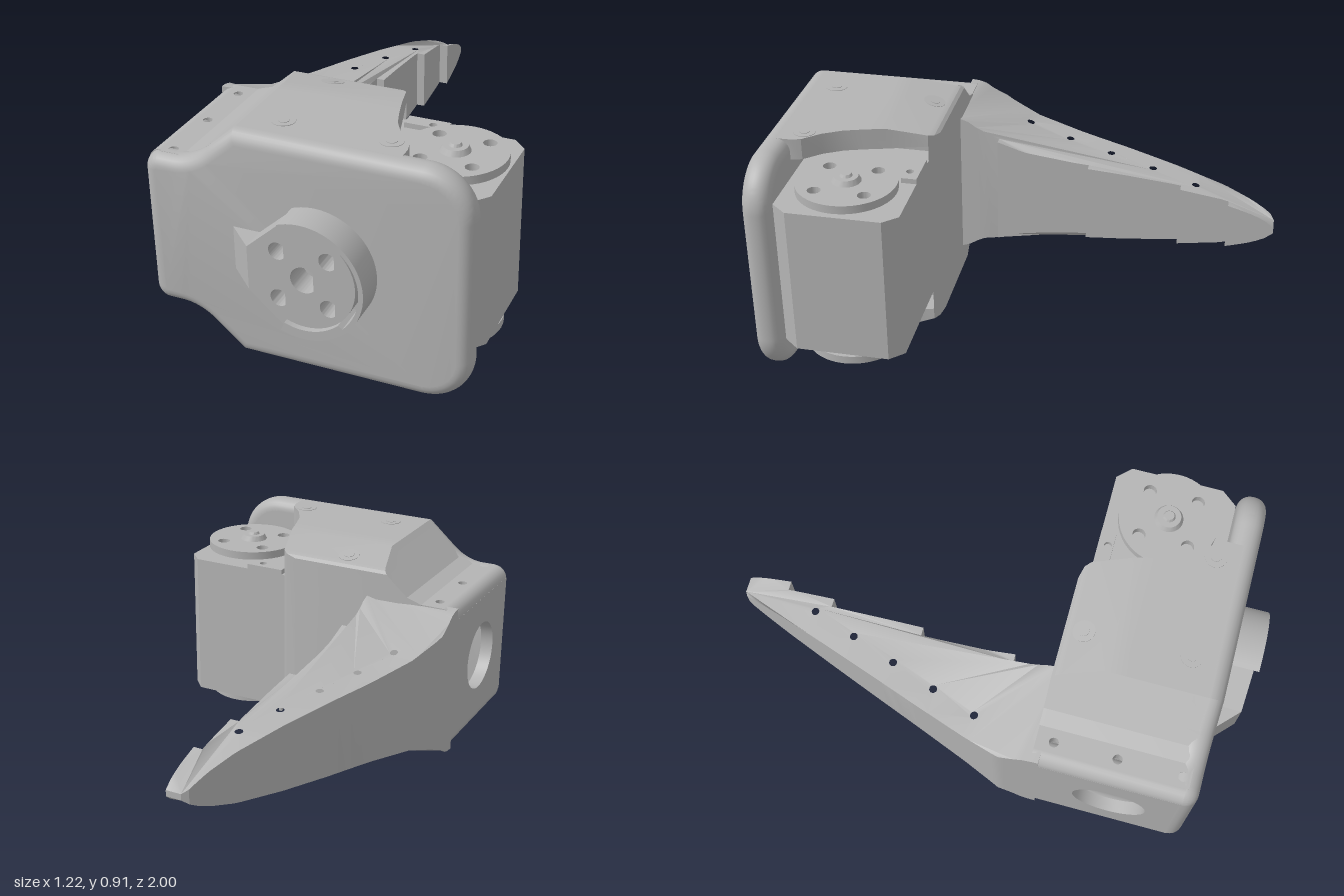
import * as THREE from 'three';
import { toCreasedNormals } from 'three/addons/utils/BufferGeometryUtils.js';

const YC = 0.453; // height of the mirror plane

export function createModel() {
  const group = new THREE.Group();
  const grey = new THREE.MeshStandardMaterial({ color: 0xb4b4b4 });
  grey.name = 'plain grey';

  const add = (name, geo, crease = 0.6) => {
    const mesh = new THREE.Mesh(toCreasedNormals(geo, crease), grey);
    mesh.name = name;
    group.add(mesh);
    return mesh;
  };
  const extrude = (shape, depth, extra = {}) => new THREE.ExtrudeGeometry(shape,
    { depth, bevelEnabled: false, curveSegments: 24, ...extra });
  const circle = (x, y, r) => new THREE.Path().absarc(x, y, r, 0, Math.PI * 2, true);

  // Vertical prism from [x, z] points, with round [x, z, r] holes
  const prismY = (points, y0, y1, holes = []) => {
    const shape = new THREE.Shape(points.map(([x, z]) => new THREE.Vector2(x, -z)));
    holes.forEach(([x, z, r]) => shape.holes.push(circle(x, -z, r)));
    return extrude(shape, y1 - y0, { curveSegments: 10 }).rotateX(-Math.PI / 2).translate(0, y0, 0);
  };
  const rect = (x0, x1, z0, z1) => [[x0, z1], [x1, z1], [x1, z0], [x0, z0]];
  const cyl = (name, r, y0, y1, x, z, r2 = r) =>
    add(name, new THREE.CylinderGeometry(r2, r, y1 - y0, 40).translate(x, (y0 + y1) / 2, z));

  // Front plate with rolled edges
  const f = new THREE.Shape();
  f.moveTo(-0.26, 0.003);
  f.lineTo(0.43, 0.003);
  f.absarc(0.43, 0.183, 0.18, -Math.PI / 2, 0);
  f.lineTo(0.61, 0.723);
  f.absarc(0.43, 0.723, 0.18, 0, Math.PI / 2);
  f.lineTo(-0.26, 0.903);
  f.lineTo(-0.36, 0.815);
  f.quadraticCurveTo(-0.425, 0.753, -0.5, 0.753);
  f.lineTo(-0.55, 0.753);
  f.absarc(-0.55, 0.693, 0.06, Math.PI / 2, Math.PI);
  f.lineTo(-0.61, 0.213);
  f.absarc(-0.55, 0.213, 0.06, Math.PI, Math.PI * 1.5);
  f.lineTo(-0.5, 0.153);
  f.quadraticCurveTo(-0.425, 0.153, -0.36, 0.091);
  add('frontPlate', extrude(f, 0.01, {
    bevelEnabled: true, bevelThickness: 0.05, bevelSize: 0.05, bevelOffset: -0.05,
    bevelSegments: 6, curveSegments: 14,
  }).translate(0, 0, 0.822));

  // Housing: sections along z, as [z, right edge, top height, slot floor]
  const rows = [
    [0.268, 0.08, 0.85, 0.08], [0.28, 0.125, 0.86, 0.125], [0.3, 0.145, 0.867, 0.145],
    [0.301, 0.145, 0.867, 0.05], [0.45, 0.19, 0.903, 0.05], [0.53, 0.212, 0.903, 0.05],
    [0.6, 0.235, 0.903, 0.05], [0.67, 0.275, 0.903, 0.05], [0.73, 0.33, 0.903, 0.05],
    [0.77, 0.34, 0.903, 0.05], [0.83, 0.34, 0.903, 0.05],
  ];
  const section = ([, xe, top, slot]) => {
    const upper = [[slot, 0.82], [xe, 0.82], [xe, top], [-0.26 - (0.903 - top) * 1.14, top],
      [-0.36, 0.815], [-0.41, 0.772], [-0.47, 0.753]];
    const lower = upper.map(([x, y]) => [x, 2 * YC - y]).reverse();
    return [...lower, ...upper];
  };
  const pos = [], idx = [];
  const n = section(rows[0]).length;
  rows.forEach((row) => section(row).forEach(([x, y]) => pos.push(x, y, row[0])));
  for (let r = 0; r < rows.length - 1; r++) {
    for (let i = 0; i < n; i++) {
      const a = r * n + i, b = r * n + (i + 1) % n;
      idx.push(a, b, b + n, a, b + n, a + n);
    }
  }
  [0, rows.length - 1].forEach((r) => {
    const ring = section(rows[r]).map(([x, y]) => new THREE.Vector2(x, y));
    THREE.ShapeUtils.triangulateShape(ring, []).forEach(([a, b, c]) => {
      const o = r * n;
      if (r) idx.push(o + a, o + b, o + c);
      else idx.push(o + a, o + c, o + b);
    });
  });
  const housing = new THREE.BufferGeometry();
  housing.setAttribute('position', new THREE.Float32BufferAttribute(pos, 3));
  housing.setIndex(idx);
  add('housing', housing, 0.35);

  // Hollow side bay: bored outer wall, drilled top and bottom walls, round corners
  const wall = new THREE.Shape([[-0.83, 0.2], [-0.28, 0.2], [-0.28, 0.706], [-0.83, 0.706]]
    .map(([x, y]) => new THREE.Vector2(x, y)));
  wall.holes.push(circle(-0.58, YC, 0.14));
  add('boredSideWall', extrude(wall, 0.05).rotateY(Math.PI / 2).translate(-0.61, 0, 0));
  const drill = [0.335, 0.57, 0.81].map((z) => [-0.52, z, 0.018]);
  [[0.153, 0.203], [0.703, 0.753]].forEach(([y0, y1]) =>
    add('bayWall', prismY(rect(-0.56, -0.46, 0.27, 0.84), y0, y1, drill)));
  [0.203, 0.703].forEach((y) => add('bayCorner',
    new THREE.CylinderGeometry(0.05, 0.05, 0.56, 24).rotateX(Math.PI / 2).translate(-0.56, y, 0.55)));

  // Finger: stepped plan with drilled holes, height tapered along z
  const keys = [[-0.61, 0.3], [-0.61, 0.15], [-0.203, -0.96], [-0.192, -0.985], [-0.17, -1],
    [-0.11, -1], [-0.11, -0.82], [-0.145, -0.82], [-0.145, -0.63], [-0.178, -0.63],
    [-0.178, -0.26], [-0.21, -0.26], [-0.21, 0.11], [-0.24, 0.11], [-0.24, 0.3]];
  const plan = [];
  keys.forEach(([x, z], i) => {
    const [x2, z2] = keys[(i + 1) % keys.length];
    const steps = Math.max(1, Math.round(Math.abs(z2 - z) / 0.03));
    for (let s = 0; s < steps; s++) plan.push([x + (x2 - x) * s / steps, z + (z2 - z) * s / steps]);
  });
  const taper = [[-1, 0.012], [-0.985, 0.028], [-0.95, 0.048], [-0.9, 0.068], [-0.8, 0.097],
    [-0.6, 0.127], [-0.4, 0.147], [-0.2, 0.162], [0, 0.187], [0.12, 0.226], [0.2, 0.262],
    [0.25, 0.295], [0.3, 0.3]];
  const halfHeight = (z) => {
    const i = Math.max(1, taper.findIndex(([t]) => t >= z - 1e-6));
    const [z0, h0] = taper[i - 1], [z1, h1] = taper[i];
    return h0 + (h1 - h0) * (z - z0) / (z1 - z0);
  };
  const fingerHoles = [0, 1, 2, 3, 4].map((i) => [-0.47 + 0.065 * i, 0.022 - 0.177 * i, 0.015]);
  const finger = prismY(plan, -1, 1, fingerHoles);
  const p = finger.attributes.position;
  for (let i = 0; i < p.count; i++) p.setY(i, YC + p.getY(i) * halfHeight(p.getZ(i)));
  add('finger', finger, 0.5);

  // Servo motor body with chamfered outer corners
  add('servoBody', prismY([[0.06, 0.77], [0.56, 0.77], [0.61, 0.71], [0.61, 0.355],
    [0.56, 0.302], [0.06, 0.302]], 0.165, 0.755), 0.3);
  add('servoTab', prismY(rect(0.16, 0.32, 0.302, 0.36), 0.75, 0.775, [[0.265, 0.34, 0.015]]));

  // Output horns above and below the servo
  const hx = 0.42, hz = 0.535;
  const hornHoles = [[-1, -1], [1, -1], [1, 1], [-1, 1]].map(([a, b]) => [hx + a * 0.093, hz + b * 0.093, 0.025]);
  const disc = Array.from({ length: 48 }, (_, i) => {
    const a = -i / 48 * Math.PI * 2;
    return [hx + 0.188 * Math.cos(a), hz + 0.188 * Math.sin(a)];
  });
  add('topHorn', prismY(disc, 0.77, 0.802, hornHoles));
  cyl('topHornHub', 0.1, 0.75, 0.771, hx, hz);
  cyl('hornScrew', 0.055, 0.802, 0.822, hx, hz, 0.045);
  cyl('hornScrewHead', 0.025, 0.82, 0.832, hx, hz, 0.018);
  add('bottomHorn', prismY(disc, 0.12, 0.152));
  cyl('bottomHornHub', 0.1, 0.15, 0.17, hx, hz);
  cyl('bottomHornScrew', 0.03, 0.108, 0.122, hx, hz, 0.035);

  // Connector pins under the servo
  [0.4, 0.43, 0.46, 0.55, 0.58, 0.61].forEach((z) => [0.19, 0.215].forEach((x) =>
    add('connectorPin', new THREE.BoxGeometry(0.012, 0.08, 0.012).translate(x, 0.13, z))));

  // Screw seats on the housing, mirrored top to bottom
  [[-0.125, 0.34, 0.876, -0.235], [-0.125, 0.735, 0.903, 0], [0.27, 0.735, 0.903, 0]].forEach(([x, z, y, tilt]) =>
    [1, -1].forEach((side) => [[0.042, 0.004], [0.02, 0.008]].forEach(([r, h]) => {
      const seat = add('screwSeat', new THREE.CylinderGeometry(r, r, h, 24));
      seat.position.set(x, YC + side * (y - YC), z);
      seat.rotation.x = side * tilt;
    })));

  // Front coupling: keyhole pad with drop-shaped holes
  const cx = 0.05;
  const drop = (x, y, r) => {
    const path = new THREE.Path();
    path.moveTo(x + r * 1.45, y);
    path.absarc(x, y, r, -Math.PI / 4, Math.PI / 4, true);
    return path;
  };
  const pad = new THREE.Shape();
  pad.moveTo(-0.16, 0.368);
  pad.lineTo(-0.03, 0.25);
  pad.absarc(cx, YC, 0.188, -1.95, 1.95);
  pad.lineTo(-0.03, 0.656);
  pad.lineTo(-0.16, 0.538);
  pad.holes.push(drop(cx, YC, 0.05));
  [-0.045, 0.14].forEach((x) => [-1, 1].forEach((s) => pad.holes.push(drop(x, YC + s * 0.093, 0.033))));
  add('couplingPad', extrude(pad, 0.11).translate(0, 0, 0.87));

  // Raised collar, relieved on its inner right side
  const collar = new THREE.Shape();
  collar.absarc(cx, YC, 0.225, -1.95, 1.95);
  collar.absarc(cx, YC, 0.189, 1.95, 0.8, true);
  collar.absarc(cx, YC, 0.208, 0.78, -0.78, true);
  collar.absarc(cx, YC, 0.189, -0.8, -1.95, true);
  add('couplingCollar', extrude(collar, 0.13).translate(0, 0, 0.87));
  add('couplingRamp', prismY([[-0.275, 0.87], [-0.16, 0.87], [-0.16, 0.98]], 0.368, 0.538));

  return group;
}
